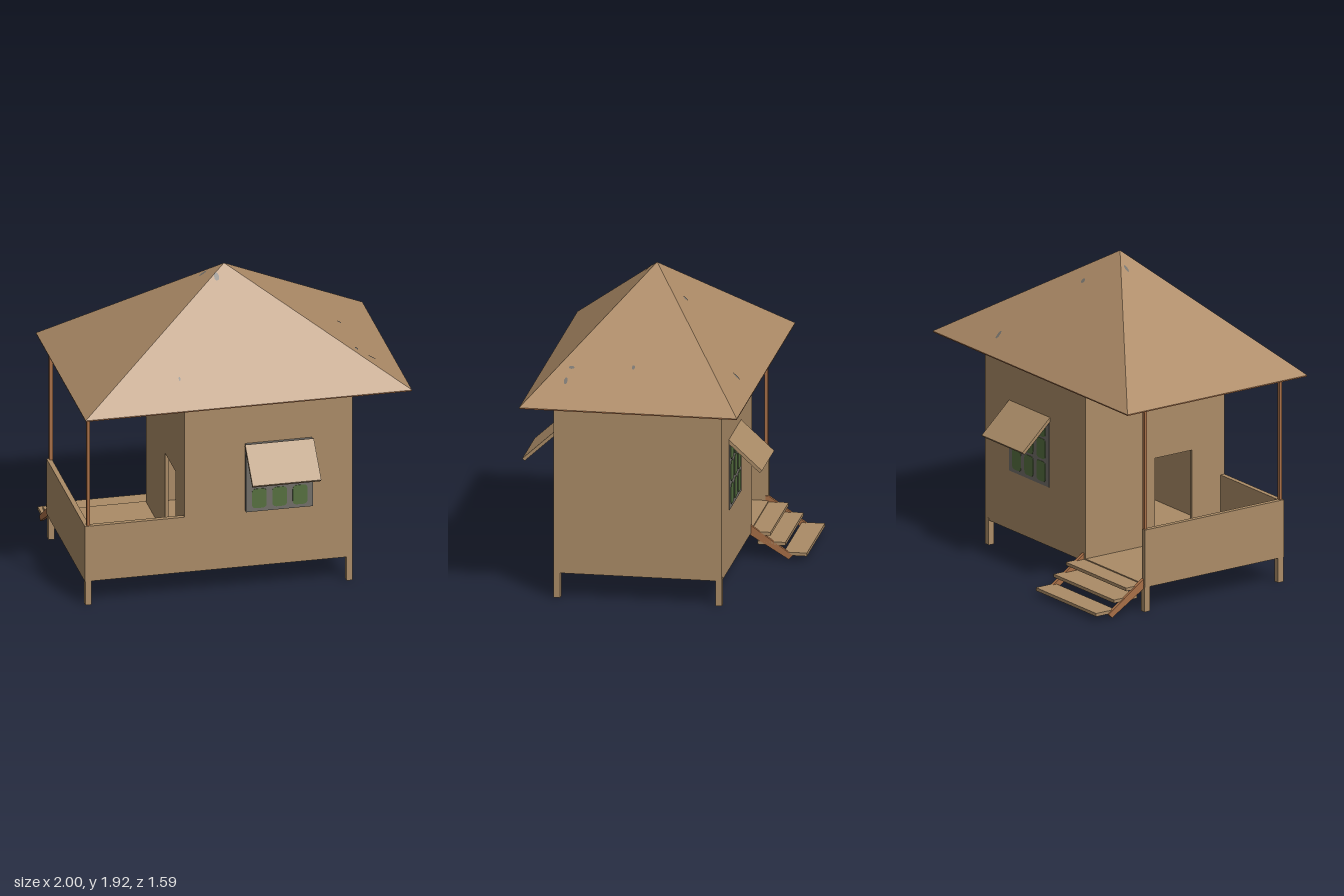
import * as THREE from 'three';

const mat = (name, color, side = THREE.FrontSide) => {
  const m = new THREE.MeshStandardMaterial({ color, side });
  m.name = name;
  return m;
};

export function createModel() {
  const wood = mat('plank wood', 0xab8c67);
  const thatch = mat('roof board', 0xac8a66);
  const timber = mat('red brown timber', 0xa86f47);
  const grey = mat('window grey', 0x736f69);
  const green = mat('pane green', 0x567040);
  const patchGrey = mat('patch grey', 0x736f69, THREE.DoubleSide);

  const model = new THREE.Group();
  const add = (name, geometry, material, parent = model) => {
    const mesh = new THREE.Mesh(geometry, material);
    mesh.name = name;
    parent.add(mesh);
    return mesh;
  };
  // Box given by its lower and upper corner
  const box = (name, material, [x0, y0, z0], [x1, y1, z1], parent = model) => {
    const g = new THREE.BoxGeometry(x1 - x0, y1 - y0, z1 - z0);
    g.translate((x0 + x1) / 2, (y0 + y1) / 2, (z0 + z1) / 2);
    return add(name, g, material, parent);
  };
  // Outline in z and y, extruded along x between x0 and x1
  const sideExtrude = (name, material, shape, x0, x1) => {
    const g = new THREE.ExtrudeGeometry(shape, { depth: x1 - x0, bevelEnabled: false });
    g.rotateY(-Math.PI / 2).translate(x1, 0, 0);
    return add(name, g, material);
  };
  const outline = (pts, Kind = THREE.Shape) => new Kind(pts.map(([a, b]) => new THREE.Vector2(a, b)));

  const FLOOR = 0.155, EAVE = 1.27, BACK = -0.46, FRONT = 0.56;

  // Floor
  box('roomFloor', wood, [-0.36, FLOOR, BACK], [0.67, 0.175, FRONT]);
  box('porchFloor', wood, [-0.97, FLOOR, BACK], [-0.362, 0.175, FRONT]);

  // Room walls
  box('frontWall', wood, [-0.36, FLOOR, FRONT - 0.02], [0.67, EAVE, FRONT]);
  box('backWall', wood, [-0.36, FLOOR, BACK], [0.67, EAVE, BACK + 0.02]);
  box('sideWall', wood, [0.65, FLOOR, BACK + 0.02], [0.67, EAVE, FRONT - 0.02]);
  const doorWall = outline([[BACK + 0.02, FLOOR], [FRONT - 0.02, FLOOR], [FRONT - 0.02, EAVE], [BACK + 0.02, EAVE]]);
  doorWall.holes.push(outline([[0.05, 0.175], [0.05, 0.71], [0.32, 0.71], [0.32, 0.175]], THREE.Path));
  sideExtrude('doorWall', wood, doorWall, -0.36, -0.34);

  // Porch parapets and roof posts
  box('frontParapet', wood, [-0.97, FLOOR, FRONT - 0.03], [-0.36, 0.515, FRONT]);
  box('sideParapet', wood, [-0.97, FLOOR, BACK], [-0.94, 0.515, FRONT - 0.03]);
  for (const z of [BACK + 0.015, FRONT - 0.015]) {
    box('porchPost', timber, [-0.957, 0.5, z - 0.01], [-0.936, EAVE, z + 0.01]);
  }

  // Legs
  for (const x of [-0.948, 0.651]) {
    for (const z of [BACK + 0.019, FRONT - 0.021]) {
      box('leg', wood, [x - 0.018, 0, z - 0.02], [x + 0.018, 0.17, z + 0.02]);
    }
  }

  // Hipped roof with a flat ceiling
  let roof = new THREE.ConeGeometry(Math.SQRT2, 0.645, 4, 1, true);
  roof.rotateY(Math.PI / 4).scale(1, 1, 0.66);
  roof = roof.toNonIndexed();
  roof.computeVertexNormals();
  roof.translate(0, 1.275 + 0.3225, 0.05);
  add('roof', roof, thatch);
  box('ceiling', timber, [-0.998, 1.267, -0.608], [0.998, 1.275, 0.708]);

  // Small worn patches lying on the roof slopes
  const patches = [[0.46, -0.51, 0.012, 0.03], [0.11, -0.14, 0.015, 0.018], [-0.12, 0.01, 0.03, 0.01],
    [-0.06, 0.11, 0.016, 0.028], [0.7, 0.07, 0.018, 0.01], [0.72, 0.44, 0.012, 0.018],
    [0.81, 0.46, 0.028, 0.011], [-0.39, 0.56, 0.006, 0.014]];
  for (const [x, z, rx, rz] of patches) {
    const dz = (z - 0.05) / 0.66;
    const onEnd = Math.abs(x) > Math.abs(dz);
    const normal = onEnd
      ? new THREE.Vector3(Math.sign(x) * 0.645, 1, 0)
      : new THREE.Vector3(0, 1, Math.sign(dz) * 0.645 / 0.66);
    normal.normalize();
    const g = new THREE.CircleGeometry(1, 7);
    g.rotateX(-Math.PI / 2).scale(rx, 1, rz);
    const patch = add('roofPatch', g, patchGrey);
    patch.quaternion.setFromUnitVectors(new THREE.Vector3(0, 1, 0), normal);
    const y = 1.92 - 0.645 * Math.max(Math.abs(x), Math.abs(dz));
    patch.position.set(x, y, z).addScaledVector(normal, 0.003);
  }

  // Rounded pane, drawn around its own centre
  const pane = (w, h, r) => {
    const s = new THREE.Shape();
    s.moveTo(-w + r, -h);
    s.lineTo(w - r, -h).quadraticCurveTo(w, -h, w, -h + r);
    s.lineTo(w, h - r).quadraticCurveTo(w, h, w - r, h);
    s.lineTo(-w + r, h).quadraticCurveTo(-w, h, -w, h - r);
    s.lineTo(-w, -h + r).quadraticCurveTo(-w, -h, -w + r, -h);
    return new THREE.ExtrudeGeometry(s, { depth: 0.003, bevelEnabled: false, curveSegments: 3 });
  };

  // Window with panes and a propped shutter, facing local +z
  const makeWindow = (name, z, depth, turn) => {
    const w = new THREE.Group();
    w.name = name;
    box('windowFrame', grey, [-0.205, 0.525, 0], [0.205, 0.96, depth], w);
    for (const x of [-0.125, 0, 0.125]) {
      for (const y of [0.61, 0.752, 0.89]) {
        add('windowPane', pane(0.045, 0.063, 0.025), green, w).position.set(x, y, depth);
      }
    }
    const shutter = box('shutter', wood, [-0.21, -0.02, 0], [0.21, 0, 0.272], w);
    shutter.position.set(0, 0.965, depth - 0.004);
    shutter.rotation.x = 0.74;
    w.position.set(0.215, 0, z);
    w.rotation.y = turn;
    model.add(w);
  };
  makeWindow('frontWindow', FRONT, 0.035, 0);
  makeWindow('backWindow', BACK, 0.004, Math.PI);

  // Back steps
  for (const x of [-0.955, -0.345]) {
    sideExtrude('stairStringer', timber,
      outline([[-0.44, 0.155], [-0.69, 0.005], [-0.715, 0.03], [-0.46, 0.205], [-0.44, 0.205]]), x, x + 0.02);
  }
  for (const [y, z0, z1] of [[0.148, -0.58, -0.41], [0.09, -0.67, -0.5], [0.03, -0.8, -0.66]]) {
    box('stairTread', wood, [-0.945, y, z0], [-0.325, y + 0.02, z1]);
  }

  return model;
}
